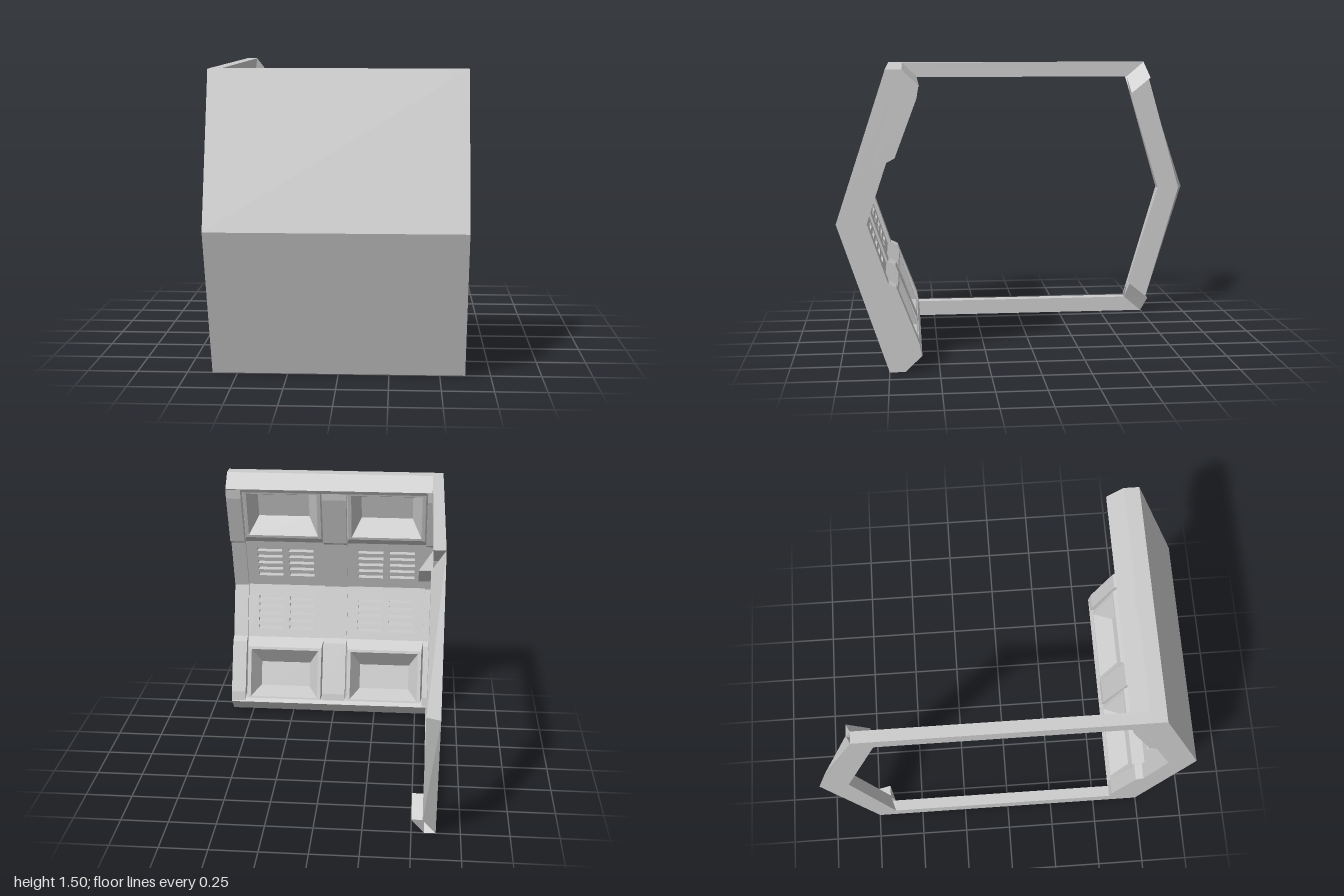
import * as THREE from 'three';

const material = new THREE.MeshStandardMaterial({ color: 0xcccccc, flatShading: true, side: THREE.DoubleSide });
const mirrorY = ([z, y]) => [z, 1.5 - y];

export function createModel() {
  const model = new THREE.Group();
  const add = (name, geometry) => {
    const mesh = new THREE.Mesh(geometry, material);
    mesh.name = name;
    model.add(mesh);
  };

  // Extrude a side profile of [z, y] points from x0 to x1
  const prism = (name, points, x0, x1) => {
    const shape = new THREE.Shape(points.map(([z, y]) => new THREE.Vector2(z, y)));
    const geometry = new THREE.ExtrudeGeometry(shape, { depth: x1 - x0, bevelEnabled: false });
    add(name, geometry.rotateY(-Math.PI / 2).translate(x1, 0, 0));
  };

  // Skin a row of equal-length cross-section loops; optionally cap both ends
  const loft = (loops, caps) => {
    const out = [];
    const quad = (a, b, c, d) => out.push(...a, ...b, ...c, ...a, ...c, ...d);
    for (let i = 0; i + 1 < loops.length; i++) {
      loops[i].forEach((p, j) => {
        const k = (j + 1) % loops[i].length;
        quad(p, loops[i][k], loops[i + 1][k], loops[i + 1][j]);
      });
    }
    if (caps) {
      quad(...[...loops[0]].reverse());
      quad(...loops[loops.length - 1]);
    }
    const geometry = new THREE.BufferGeometry();
    geometry.setAttribute('position', new THREE.Float32BufferAttribute(out, 3));
    geometry.computeVertexNormals();
    return geometry;
  };

  // Lean a (x, height, depth from outer skin) geometry onto both wall halves
  const onWall = (name, source) => {
    for (const upper of [true, false]) {
      const geometry = source.clone();
      const p = geometry.attributes.position;
      for (let i = 0; i < p.count; i++) {
        const y = p.getY(i);
        const z = 1 - (y - 0.75) / 3 - p.getZ(i);
        if (upper) p.setXYZ(i, -p.getX(i), y, z);
        else p.setXYZ(i, p.getX(i), 1.5 - y, z);
      }
      geometry.computeVertexNormals();
      add((upper ? 'upper' : 'lower') + name, geometry);
    }
  };

  // Bent outer wall
  prism('wallShell', [[0.75, 0], [1, 0.75], [0.75, 1.5], [0.67, 1.5], [0.92, 0.75], [0.67, 0]], -0.625, 0.625);

  // Ribs: thick at top and bottom, stepped back in the middle
  const ribEdge = [[0.67, 1.5], [0.59, 1.42], [0.6, 1.36], [0.71, 1.07], [0.75, 1.05]];
  const ribProfile = [[0.75, 0], [1, 0.75], [0.75, 1.5], ...ribEdge, [0.85, 0.75], ...ribEdge.map(mirrorY).reverse()];
  prism('rightEndRib', ribProfile, -0.625, -0.54);
  prism('leftEndRib', ribProfile, 0.54, 0.625);
  const centre = ribProfile.map(([z, y]) => [z + (z < 0.9 && y > 0.01 && y < 1.49 ? 0.008 : -0.002), y]);
  centre[0][0] = centre[2][0] = 0.748;
  centre[1][0] = 0.99;
  prism('centreRib', centre, -0.07, 0.07);

  // Top and bottom rails with a chamfered lip
  const rail = [[0.74, 1.5], [0.67, 1.5], [0.587, 1.42], [0.6, 1.4], [0.7, 1.38], [0.77, 1.38]];
  prism('topRail', rail, -0.62, 0.62);
  prism('bottomRail', rail.map(mirrorY), -0.62, 0.62);

  for (const side of [-1, 1]) {
    const bayX = side * 0.305;
    const half = 0.235;

    // Vent plates with two columns of slots
    const plate = new THREE.Shape();
    plate.moveTo(bayX - half, 0.75).lineTo(bayX + half, 0.75).lineTo(bayX + half, 1.07).lineTo(bayX - half, 1.07);
    for (const column of [-1, 1]) {
      for (let row = 0; row < 5; row++) {
        const x = bayX + column * 0.095;
        const y = 0.815 + row * 0.043;
        const slot = new THREE.Path();
        slot.moveTo(x - 0.075, y).lineTo(x - 0.075, y + 0.024).lineTo(x + 0.075, y + 0.024).lineTo(x + 0.075, y);
        plate.holes.push(slot);
      }
    }
    onWall('VentPlate', new THREE.ExtrudeGeometry(plate, { depth: 0.055, bevelEnabled: false }).translate(0, 0, 0.075));

    // Sunken pockets with sloping sides and a raised ledge
    const rect = (inset, y0, y1, d) => [
      [bayX - half + inset, y0, d], [bayX + half - inset, y0, d],
      [bayX + half - inset, y1, d], [bayX - half + inset, y1, d],
    ];
    onWall('Pocket', loft([
      rect(0, 1.055, 1.42, 0.128),
      rect(0.01, 1.1, 1.41, 0.18),
      rect(0.03, 1.115, 1.39, 0.18),
      rect(0.085, 1.22, 1.36, 0.082),
    ], false));
  }

  // Side frame beams running to the back
  const beam = [[0.75, 1.5], [-0.75, 1.5], [-0.65, 1.415], [0.59, 1.415]];
  prism('topBeam', beam, -0.625, -0.565);
  prism('bottomBeam', beam.map(mirrorY), -0.625, -0.565);

  // Bent back post with a bevelled rear edge
  const postTop = [[-0.625, 1.5, -0.75], [-0.625, 1.415, -0.65], [-0.557, 1.32, -0.67], [-0.557, 1.41, -0.78]];
  const postMiddle = [[-0.625, 0.75, -1], [-0.625, 0.75, -0.845], [-0.557, 0.75, -0.845], [-0.557, 0.75, -0.97]];
  const flip = (loop) => loop.map(([x, y, z]) => [x, 1.5 - y, z]);
  add('backPost', loft([flip(postTop), postMiddle, postTop], true));

  // Wedge brackets where the post meets the beams
  const wedgeRoot = [[-0.565, 1.5, -0.75], [-0.565, 1.415, -0.65], [-0.565, 1.32, -0.67], [-0.565, 1.41, -0.78]];
  const wedgeTip = [[-0.5, 1.41, -0.78], [-0.5, 1.32, -0.67], [-0.5, 1.318, -0.67], [-0.5, 1.408, -0.78]];
  add('topBracket', loft([wedgeRoot, wedgeTip], true));
  add('bottomBracket', loft([flip(wedgeRoot).reverse(), flip(wedgeTip).reverse()], true));

  return model;
}
